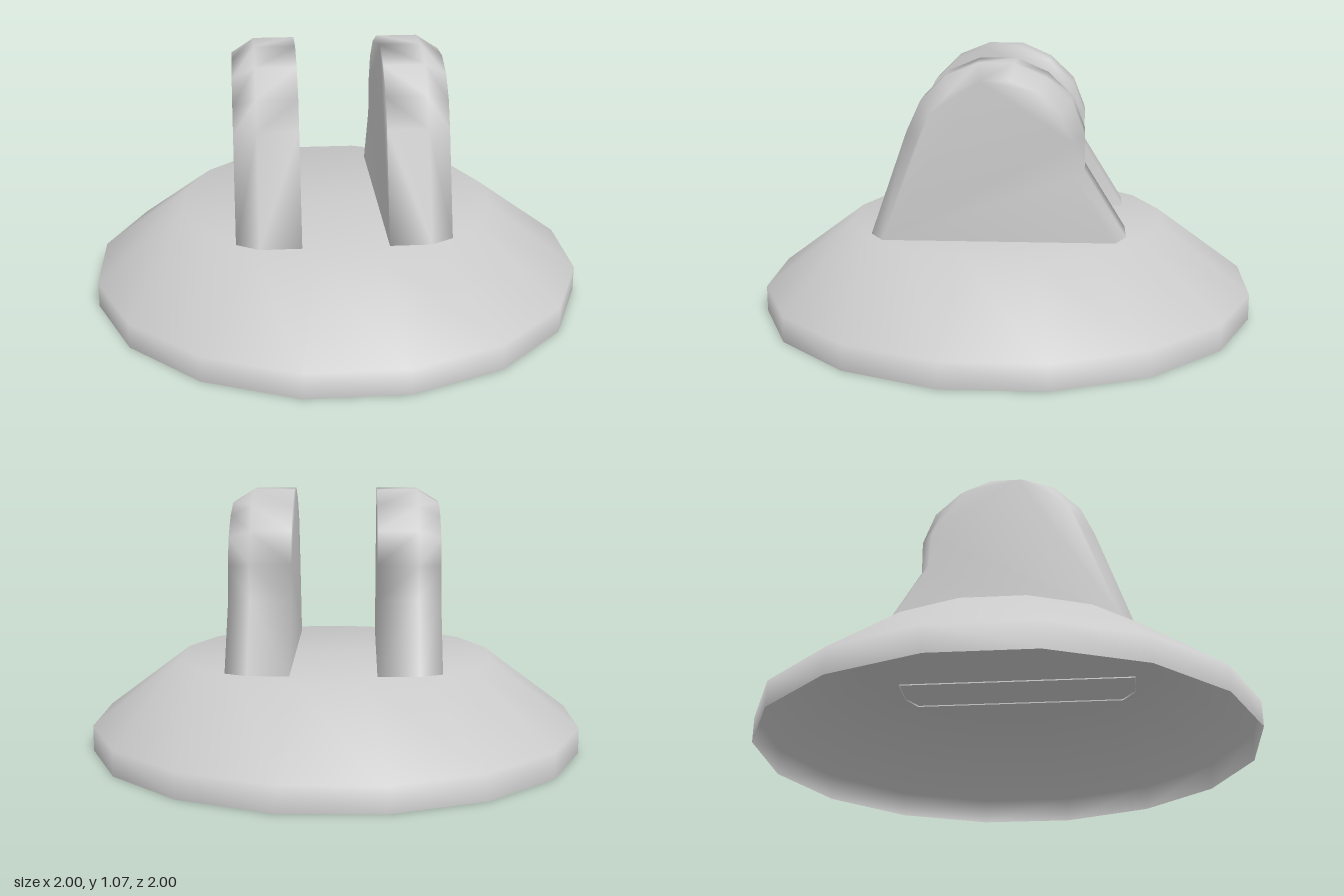
import * as THREE from 'three';

const material = new THREE.MeshStandardMaterial({ color: 0xcccccc, side: THREE.DoubleSide });

// Hollow sixteen-sided dish, open underneath
function createBase() {
  const R = 1 / Math.cos(Math.PI / 16);
  const profile = [[1, 0], [1, 0.105], [0.64, 0.38], [0, 0.38]]
    .map(([r, y]) => new THREE.Vector2(r * R, y));
  const mesh = new THREE.Mesh(new THREE.LatheGeometry(profile, 16, Math.PI / 16), material);
  mesh.name = 'base';
  return mesh;
}

// Upright lug: a side outline [z, y] lofted along x, bevelled on its outer side
function createLugGeometry() {
  const full = [[0.53, 0.375], [0.38, 0.8], [0.325, 0.92], [0.225, 1.02], [0.1, 1.07], [-0.045, 1.07],
    [-0.17, 1.015], [-0.27, 0.92], [-0.32, 0.79], [-0.32, 0.65], [-0.49, 0.375]];
  const inset = [[0.475, 0.375], [0.33, 0.78], [0.28, 0.885], [0.2, 0.97], [0.085, 1.015], [-0.03, 1.015],
    [-0.14, 0.97], [-0.225, 0.89], [-0.27, 0.78], [-0.28, 0.635], [-0.445, 0.375]];
  const sections = [[0.17, full], [0.335, full], [0.425, inset]];
  const n = full.length;
  const positions = sections.flatMap(([x, pts]) => pts.flatMap(([z, y]) => [x, y, z]));
  const index = [];

  // Walls between neighbouring sections; the underside stays open
  for (let s = 0; s < sections.length - 1; s++) {
    for (let i = 0; i < n - 1; i++) {
      const a = s * n + i, b = a + n;
      index.push(a, b, a + 1, b, b + 1, a + 1);
    }
  }

  // Inner and outer side faces
  const cap = (pts) => THREE.ShapeUtils.triangulateShape(pts.map(([z, y]) => new THREE.Vector2(z, y)), []);
  const last = (sections.length - 1) * n;
  for (const [a, b, c] of cap(full)) index.push(a, b, c);
  for (const [a, b, c] of cap(inset)) index.push(last + a, last + c, last + b);

  const geometry = new THREE.BufferGeometry();
  geometry.setAttribute('position', new THREE.Float32BufferAttribute(positions, 3));
  geometry.setIndex(index);
  geometry.computeVertexNormals();
  return geometry;
}

export function createModel() {
  const model = new THREE.Group();
  model.name = 'twinLugBase';
  model.add(createBase());

  // Mirrored pair of lugs
  const geometry = createLugGeometry();
  for (const [name, side] of [['leftLug', 1], ['rightLug', -1]]) {
    const lug = new THREE.Mesh(geometry, material);
    lug.name = name;
    lug.scale.x = side;
    model.add(lug);
  }
  return model;
}
